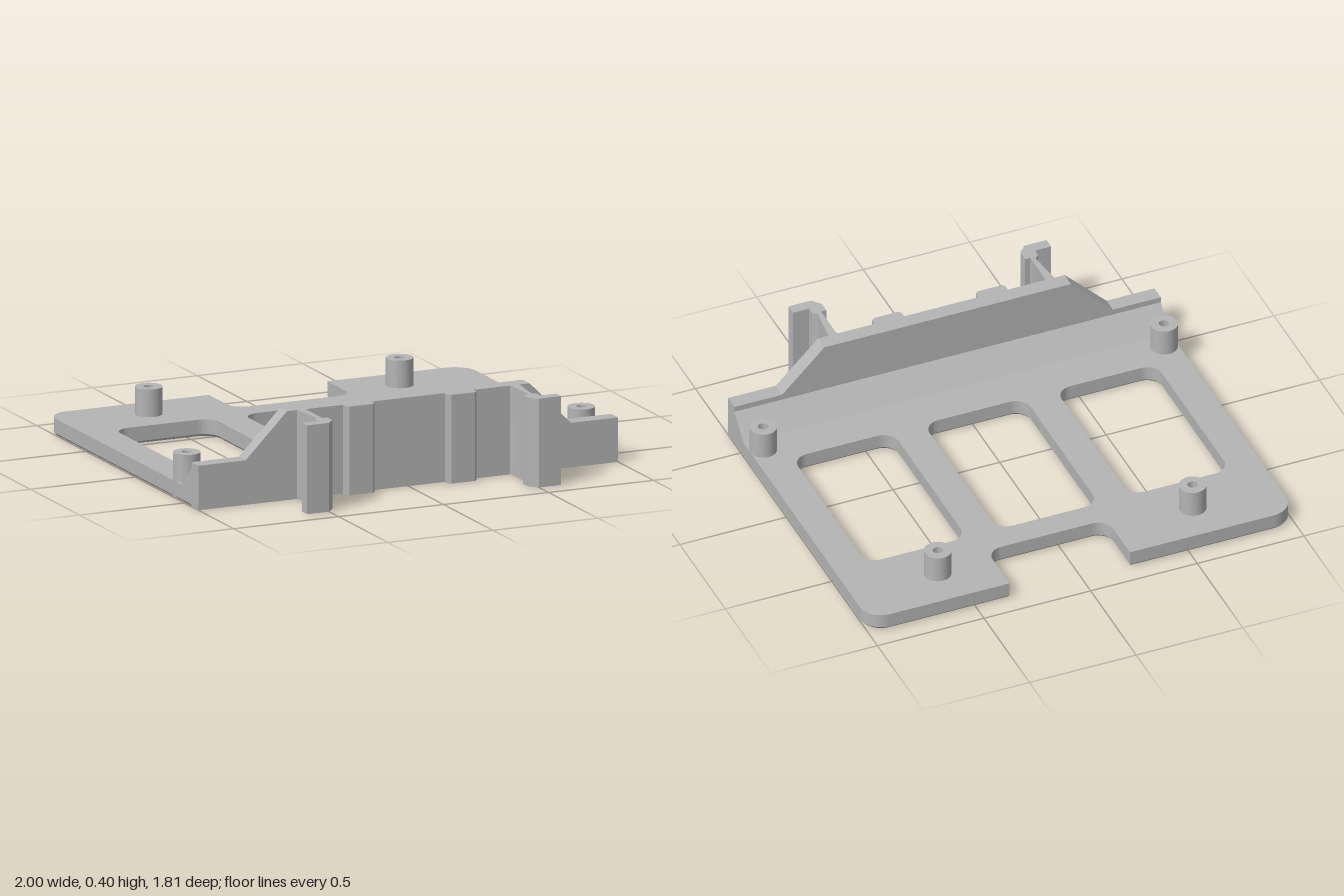
import * as THREE from 'three';
import { toCreasedNormals } from 'three/addons/utils/BufferGeometryUtils.js';

const grey = new THREE.MeshStandardMaterial({ color: 0xb4b4b4 });
grey.name = 'grey plastic';

const H = 0.395;        // height of wall and clips
const PLATE = 0.075;    // plate thickness
const HOLE = 0.022;     // screw hole radius
const posts = [[-0.6, -0.715], [0.595, -0.715], [-0.94, 0.395], [0.94, 0.395]];

function add(group, name, geometry) {
  const mesh = new THREE.Mesh(toCreasedNormals(geometry, 0.5), grey);
  mesh.name = name;
  group.add(mesh);
  return mesh;
}

const polygon = (pts) => new THREE.Shape(pts.map(([x, y]) => new THREE.Vector2(x, y)));

// Extrude a plan drawn in (x, z) between two heights
function extrudePlan(shape, y0, y1, options = {}) {
  const geo = new THREE.ExtrudeGeometry(shape, {
    depth: y1 - y0, bevelEnabled: false, curveSegments: 8, ...options,
  });
  return geo.rotateX(Math.PI / 2).translate(0, y1, 0);
}

// Rounded rectangular opening
function slot(x0, x1, z0, z1, r) {
  const p = new THREE.Path();
  p.moveTo(x0 + r, z0);
  p.lineTo(x1 - r, z0);
  p.absarc(x1 - r, z0 + r, r, -Math.PI / 2, 0);
  p.lineTo(x1, z1 - r);
  p.absarc(x1 - r, z1 - r, r, 0, Math.PI / 2);
  p.lineTo(x0 + r, z1);
  p.absarc(x0 + r, z1 - r, r, Math.PI / 2, Math.PI);
  p.lineTo(x0, z0 + r);
  p.absarc(x0 + r, z0 + r, r, Math.PI, Math.PI * 1.5);
  return p;
}

// Plate outline with rounded back corners, a back notch, slots and screw holes
function plateShape() {
  const back = -0.905, front = 0.58, r = 0.1, n = 0.07;
  const nl = -0.225, nr = 0.34, nz = -0.65;
  const s = new THREE.Shape();
  s.moveTo(1, front);
  s.lineTo(-1, front);
  s.lineTo(-1, back + r);
  s.absarc(-1 + r, back + r, r, Math.PI, Math.PI * 1.5);
  s.lineTo(nl, back);
  s.lineTo(nl, nz - n);
  s.absarc(nl + n, nz - n, n, Math.PI, Math.PI / 2, true);
  s.lineTo(nr - n, nz);
  s.absarc(nr - n, nz - n, n, Math.PI / 2, 0, true);
  s.lineTo(nr, back);
  s.lineTo(1 - r, back);
  s.absarc(1 - r, back + r, r, -Math.PI / 2, 0);
  s.lineTo(1, front);
  for (const [a, b] of [[-0.855, -0.385], [-0.24, 0.235], [0.38, 0.85]]) {
    s.holes.push(slot(a, b, -0.53, 0.29, 0.07));
  }
  for (const [x, z] of posts) {
    s.holes.push(new THREE.Path().absarc(x, z, HOLE, 0, Math.PI * 2));
  }
  return s;
}

export function createModel() {
  const model = new THREE.Group();
  model.name = 'mountingTray';

  // Base plate, with a fine chamfer round its lower edges
  add(model, 'basePlate', extrudePlan(plateShape(), 0.012, PLATE));
  add(model, 'basePlateChamfer', extrudePlan(plateShape(), 0.01, 0.03, {
    bevelEnabled: true, bevelThickness: 0.01, bevelSize: 0.008, bevelOffset: -0.008, bevelSegments: 1,
  }));

  // Hollow standoffs
  for (const [x, z] of posts) {
    const ring = [[HOLE, 0], [0.06, 0], [0.06, 0.198], [HOLE, 0.198], [HOLE, 0]];
    const geo = new THREE.LatheGeometry(ring.map(([r, y]) => new THREE.Vector2(r, y)), 32);
    add(model, 'standoff', geo).position.set(x, 0, z);
  }

  // Front wall, raised in the middle
  const wall = polygon([
    [-1, 0], [1, 0], [1, 0.198], [0.775, 0.198], [0.578, H],
    [-0.578, H], [-0.775, 0.198], [-1, 0.198],
  ]);
  add(model, 'frontWall', new THREE.ExtrudeGeometry(wall, { depth: 0.07, bevelEnabled: false })
    .translate(0, 0, 0.572));

  // Sloping brace between plate and wall, drawn in (-z, y) and run along x
  const brace = polygon([[-0.58, 0.07], [-0.472, 0.07], [-0.472, PLATE], [-0.572, 0.172], [-0.58, 0.172]]);
  add(model, 'wallBrace', new THREE.ExtrudeGeometry(brace, { depth: 2, bevelEnabled: false })
    .rotateY(Math.PI / 2).translate(-1, 0, 0));

  // Hooked clips and locating ribs, mirrored left and right
  for (const s of [-1, 1]) {
    const mirror = (pts) => polygon(pts.map(([x, z]) => [s * x, z]));
    add(model, s > 0 ? 'leftClip' : 'rightClip', extrudePlan(mirror([
      [0.53, 0.635], [0.528, 0.66], [0.51, 0.8], [0.53, 0.82], [0.53, 0.853], [0.605, 0.853],
      [0.605, 0.903], [0.5, 0.903], [0.466, 0.864], [0.466, 0.813], [0.49, 0.813],
      [0.49, 0.655], [0.48, 0.635],
    ]), 0, H));
    add(model, s > 0 ? 'leftRib' : 'rightRib', extrudePlan(mirror([
      [0.174, 0.635], [0.174, 0.67], [0.186, 0.682], [0.3, 0.682], [0.312, 0.67], [0.312, 0.635],
    ]), 0, H));
  }
  return model;
}
